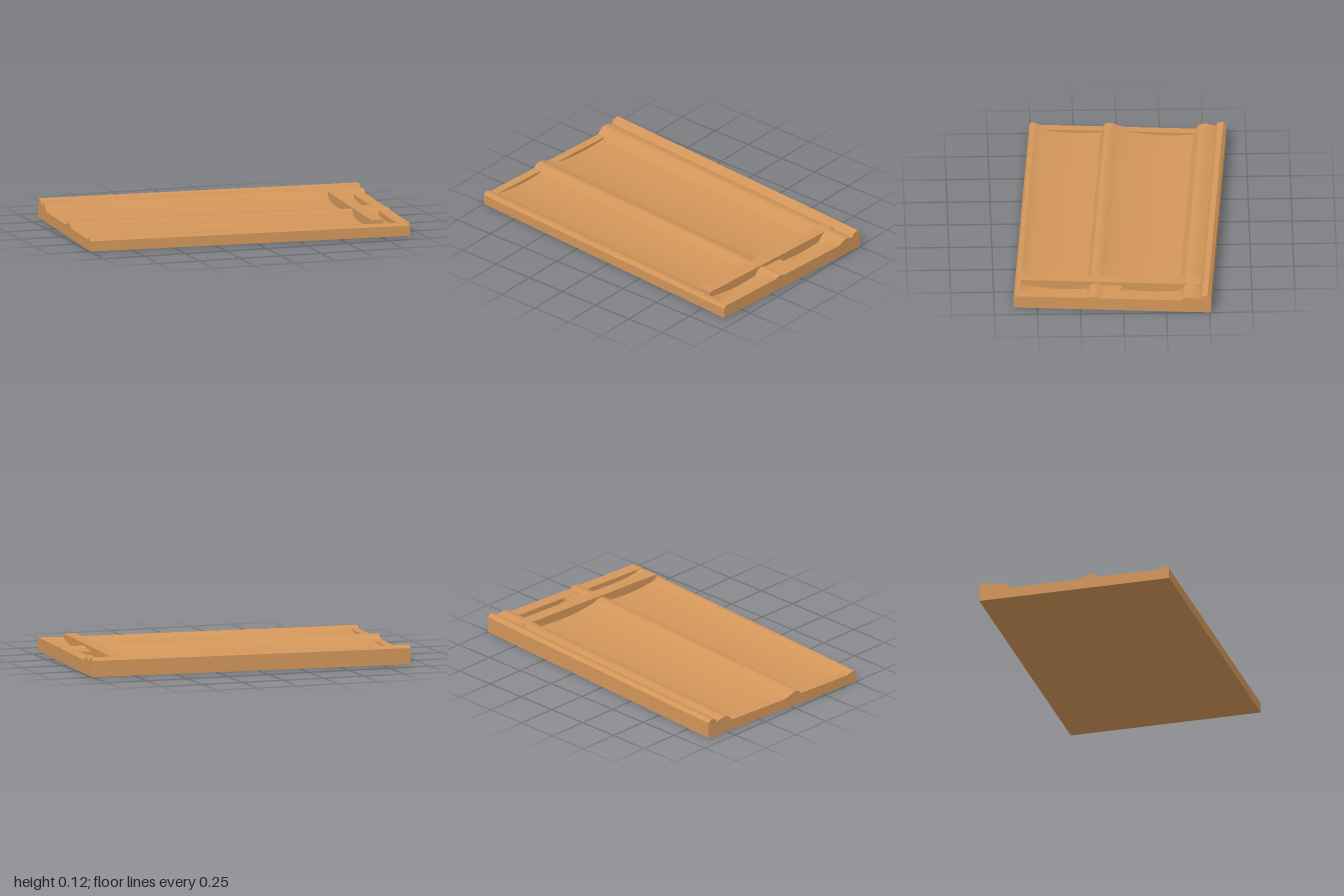
import * as THREE from 'three';
import { toCreasedNormals } from 'three/addons/utils/BufferGeometryUtils.js';

const LENGTH = 1.924;

// Hollow between two profile points: sags below the straight line
function cove([z0, y0], [z1, y1], sag, n = 10) {
  const pts = [];
  for (let i = 0; i <= n; i++) {
    const t = i / n;
    pts.push([z0 + (z1 - z0) * t, y0 + (y1 - y0) * t - sag * 4 * t * (1 - t)]);
  }
  return pts;
}

// Sweep a (z, y) profile along x from x0 to x1
function sweep(profile, x0, x1) {
  const shape = new THREE.Shape(profile.map(([z, y]) => new THREE.Vector2(-z, y)));
  const geo = new THREE.ExtrudeGeometry(shape, { depth: x1 - x0, bevelEnabled: false });
  geo.rotateY(Math.PI / 2).translate(x0, 0, 0);
  return toCreasedNormals(geo, 0.4);
}

export function createModel() {
  const wood = new THREE.MeshStandardMaterial({ color: 0xd2965a });
  wood.name = 'warm wood';
  const group = new THREE.Group();
  group.name = 'mouldedPanel';

  const add = (name, geo) => {
    const mesh = new THREE.Mesh(geo, wood);
    mesh.name = name;
    group.add(mesh);
  };
  const block = (name, x0, x1, y0, y1, z0, z1) => add(name,
    new THREE.BoxGeometry(x1 - x0, y1 - y0, z1 - z0)
      .translate((x0 + x1) / 2, (y0 + y1) / 2, (z0 + z1) / 2));

  // Moulded slab: front lip, hollow, middle ridge, hollow, rear ridge, cornice
  const h = LENGTH / 2;
  add('mouldedSlab', sweep([
    [0.574, 0], [0.574, 0.06], [0.562, 0.075], [0.54, 0.075],
    ...cove([0.51, 0.062], [0.156, 0.05], 0.013),
    [0.133, 0.08], [0.115, 0.086], [0.095, 0.087], [0.07, 0.078],
    ...cove([0.046, 0.068], [-0.382, 0.052], 0.017),
    [-0.415, 0.09], [-0.435, 0.097], [-0.455, 0.1], [-0.48, 0.094], [-0.507, 0.086],
    [-0.524, 0.108], [-0.555, 0.115], [-0.574, 0.095], [-0.574, 0],
  ], -h, h));

  // End rims
  block('leftEndRim', -h, -0.912, 0.02, 0.062, -0.39, 0.52);
  block('rightEndRim', 0.89, h, 0.02, 0.077, -0.405, 0.562);

  // Raised cross bar and the small bridge beside it
  block('crossBar', 0.738, 0.813, 0.02, 0.097, -0.508, 0.538);
  block('bridgeBlock', 0.813, 0.89, 0.02, 0.075, -0.05, 0.07);

  group.rotation.y = -0.0685;
  const root = new THREE.Group();
  root.add(group);
  return root;
}
